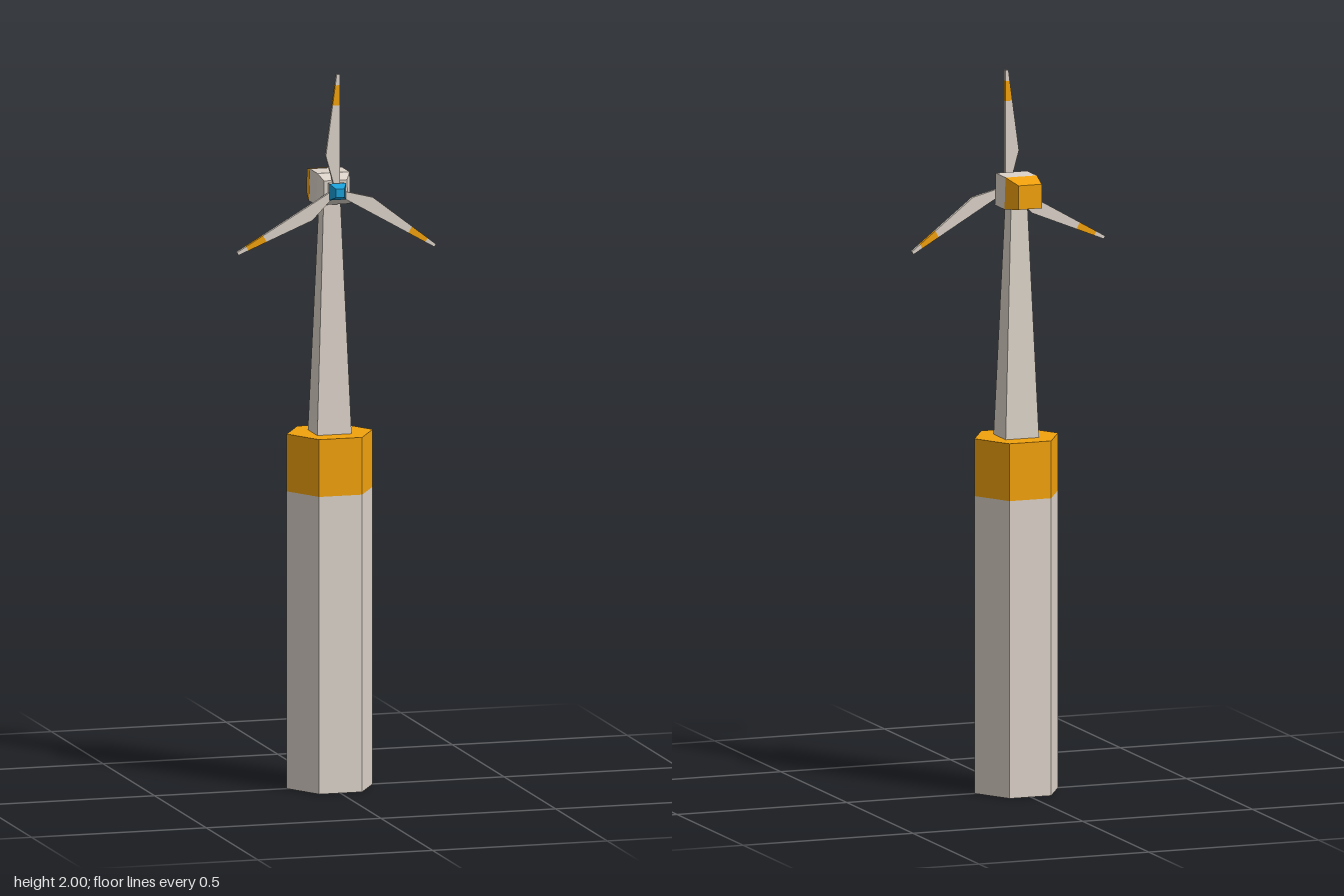
import * as THREE from 'three';

const mat = (color) => new THREE.MeshStandardMaterial({ color, flatShading: true, side: THREE.DoubleSide });

// Closed loft front to back through four-cornered sections
// [z, bottom half width, top half width, low y, high y]
function loft(sections) {
  const rings = sections.map(([z, wb, wt, lo, hi]) => [
    [-wb, lo, z], [wb, lo, z], [wt, hi, z], [-wt, hi, z],
  ]);
  const pos = [];
  const quad = (a, b, c, d) => pos.push(...a, ...b, ...c, ...a, ...c, ...d);
  for (let s = 0; s < rings.length - 1; s++) {
    const f = rings[s], b = rings[s + 1];
    for (let i = 0; i < 4; i++) {
      const j = (i + 1) % 4;
      quad(f[i], b[i], b[j], f[j]);
    }
  }
  const first = rings[0], last = rings[rings.length - 1];
  quad(...first);
  quad(last[3], last[2], last[1], last[0]);
  const g = new THREE.BufferGeometry();
  g.setAttribute('position', new THREE.Float32BufferAttribute(pos, 3));
  g.computeVertexNormals();
  return g;
}

export function createModel() {
  const model = new THREE.Group();
  model.name = 'windTurbine';
  const pale = mat(0xdcd3c9);
  const orange = mat(0xf2a20d);
  const blue = mat(0x1a9fd8);

  const add = (parent, name, geometry, material) => {
    const mesh = new THREE.Mesh(geometry, material);
    mesh.name = name;
    parent.add(mesh);
    return mesh;
  };

  // Six-sided pile, open underneath, with a coloured collar and deck
  const hexTube = (y0, y1) => new THREE.CylinderGeometry(0.123, 0.123, y1 - y0, 6, 1, true)
    .rotateY(Math.PI / 6).translate(0, (y0 + y1) / 2, 0);
  add(model, 'pile', hexTube(0, 0.83), pale);
  add(model, 'pileCollar', hexTube(0.83, 0.99), orange);
  add(model, 'deck', new THREE.CircleGeometry(0.123, 6).rotateX(-Math.PI / 2).translate(0, 0.99, 0), orange);

  // Square tapering tower
  add(model, 'tower', new THREE.CylinderGeometry(0.024 * Math.SQRT2, 0.049 * Math.SQRT2, 0.65, 4, 1, true)
    .rotateY(Math.PI / 4).scale(1, 1, 0.94).translate(0, 1.315, 0), pale);

  // Nacelle with coloured tail
  const nacelle = new THREE.Group();
  nacelle.name = 'nacelle';
  model.add(nacelle);
  add(nacelle, 'nacelleBody', loft([
    [0.057, 0.034, 0.033, 1.648, 1.702],
    [0.037, 0.049, 0.046, 1.631, 1.72],
    [-0.037, 0.049, 0.046, 1.631, 1.72],
  ]), pale);
  add(nacelle, 'nacelleTail', loft([
    [-0.037, 0.049, 0.046, 1.631, 1.72],
    [-0.106, 0.035, 0.034, 1.641, 1.708],
  ]), orange);

  // Rotor: hub, nose and three blades around the hub axis
  const rotor = new THREE.Group();
  rotor.name = 'rotor';
  rotor.position.set(0, 1.674, 0);
  model.add(rotor);
  add(rotor, 'hub', loft([
    [0.078, 0.023, 0.023, -0.022, 0.022],
    [0.055, 0.021, 0.021, -0.021, 0.021],
  ]), pale);
  add(rotor, 'noseCone', loft([
    [0.102, 0.012, 0.012, -0.012, 0.012],
    [0.078, 0.024, 0.024, -0.023, 0.023],
  ]), blue);

  // Blade: straight leading edge, trailing edge swelling near the root
  const edge = (r) => (r < 0.1
    ? THREE.MathUtils.mapLinear(r, 0, 0.1, -0.004, -0.032)
    : THREE.MathUtils.mapLinear(r, 0.1, 0.326, -0.032, -0.001));
  const bladePiece = (radii) => {
    const outline = radii.map((r) => new THREE.Vector2(edge(r), r));
    outline.unshift(new THREE.Vector2(0.008, radii[0]));
    outline.push(new THREE.Vector2(0.008, radii[radii.length - 1]));
    return new THREE.ExtrudeGeometry(new THREE.Shape(outline), { depth: 0.01, bevelEnabled: false })
      .translate(0, 0, 0.062);
  };
  for (let i = 0; i < 3; i++) {
    const blade = new THREE.Group();
    blade.name = 'blade' + (i + 1);
    blade.rotation.z = (i * Math.PI * 2) / 3;
    rotor.add(blade);
    add(blade, 'bladeRoot', bladePiece([0, 0.1, 0.24]), pale);
    add(blade, 'bladeBand', bladePiece([0.24, 0.296]), orange);
    add(blade, 'bladeTip', bladePiece([0.296, 0.326]), pale);
  }

  model.position.x = 0.001;
  return model;
}
